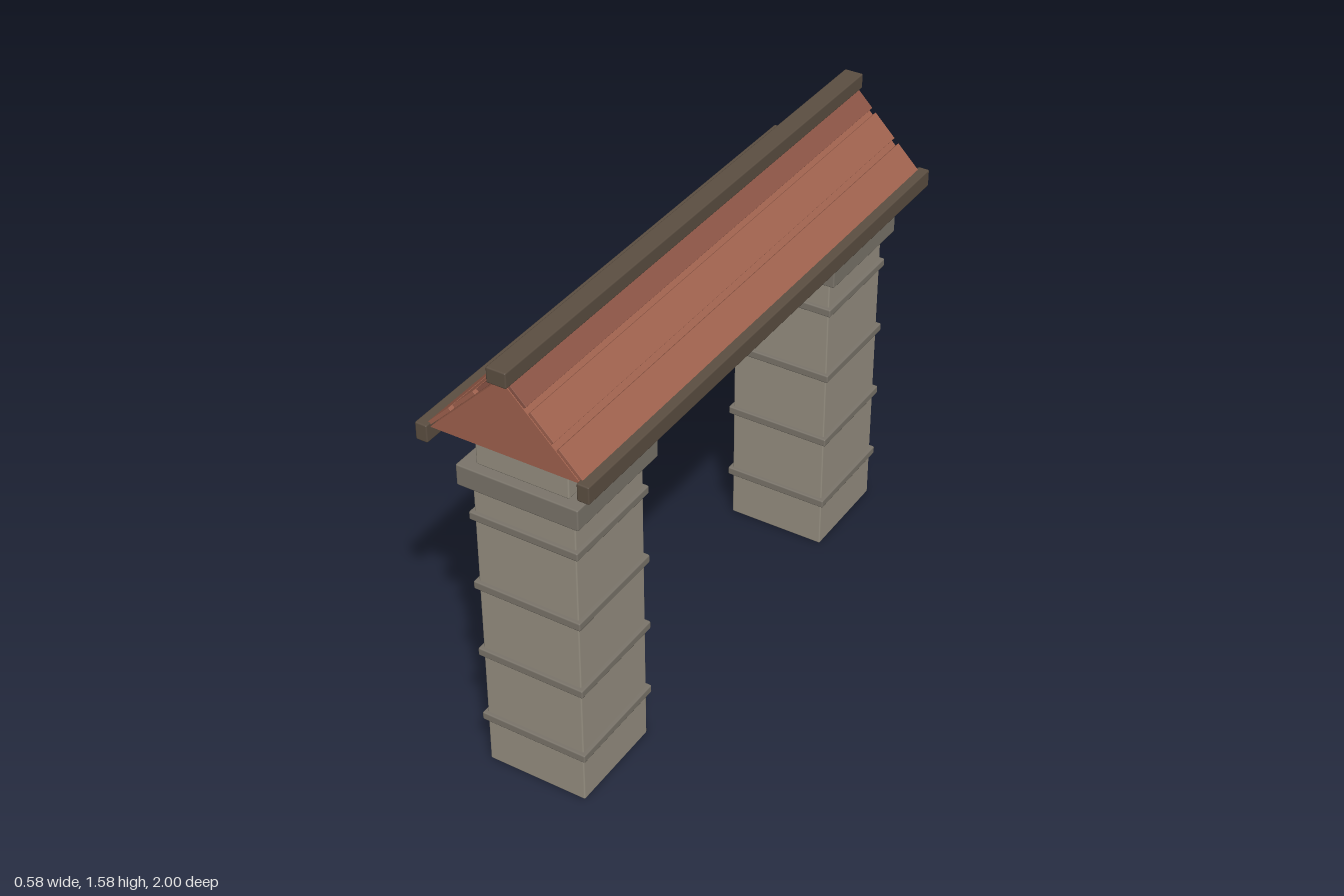
import * as THREE from 'three';
import { RoundedBoxGeometry } from 'three/addons/geometries/RoundedBoxGeometry.js';

const material = (color) => new THREE.MeshStandardMaterial({ color });

export function createModel() {
  const model = new THREE.Group();
  model.name = 'roofedGateway';
  const stone = material(0x979082);
  const trimStone = material(0x7b756b);
  const tile = material(0xa0624e);
  const tileDark = material(0x8c5546);
  const wood = material(0x5c4f42);

  // Slightly bevelled block, placed by its centre
  function block(parent, name, mat, size, pos, bevel = 0.005) {
    const mesh = new THREE.Mesh(new RoundedBoxGeometry(...size, 1, bevel), mat);
    mesh.name = name;
    mesh.position.set(...pos);
    parent.add(mesh);
    return mesh;
  }

  // Two square pillars with string courses and a capital
  for (const side of [1, -1]) {
    const pillar = new THREE.Group();
    pillar.name = side > 0 ? 'frontPillar' : 'backPillar';
    pillar.position.z = side * 0.73;
    block(pillar, 'shaft', stone, [0.35, 1.074, 0.35], [0, 0.537, 0]);
    for (const y of [0.181, 0.44, 0.699, 0.957]) {
      block(pillar, 'band', trimStone, [0.375, 0.029, 0.375], [0, y, 0]);
    }
    block(pillar, 'capital', trimStone, [0.415, 0.073, 0.415], [0, 1.109, 0]);
    model.add(pillar);
  }

  // Lintel beam across both pillars
  block(model, 'lintel', stone, [0.316, 0.14, 1.81], [0, 1.215, 0]);

  // Gabled roof core
  const gable = new THREE.Shape();
  gable.moveTo(-0.252, 1.285);
  gable.lineTo(0.252, 1.285);
  gable.lineTo(0, 1.537);
  const coreGeometry = new THREE.ExtrudeGeometry(gable, { depth: 1.96, bevelEnabled: false });
  coreGeometry.translate(0, 0, -0.98);
  const core = new THREE.Mesh(coreGeometry, tile);
  core.name = 'roofCore';
  model.add(core);

  // Three tile courses per slope, each given by its lower and upper height
  const courses = [[1.292, 1.371, tile], [1.386, 1.459, tile], [1.472, 1.535, tileDark]];
  for (const side of [1, -1]) {
    for (const [low, high, mat] of courses) {
      const mid = (low + high) / 2;
      const length = (high - low) * Math.SQRT2;
      const course = block(model, 'tileCourse', mat, [length, 0.012, 1.96],
        [side * (1.55 - mid), mid, 0], 0.001);
      course.rotation.z = -side * Math.PI / 4;
    }
    // Eave beam along the lower edge
    block(model, side > 0 ? 'leftEave' : 'rightEave', wood, [0.041, 0.06, 2], [side * 0.27, 1.27, 0]);
  }

  // Ridge beam
  block(model, 'ridgeBeam', wood, [0.066, 0.052, 2], [0, 1.552, 0]);

  return model;
}
